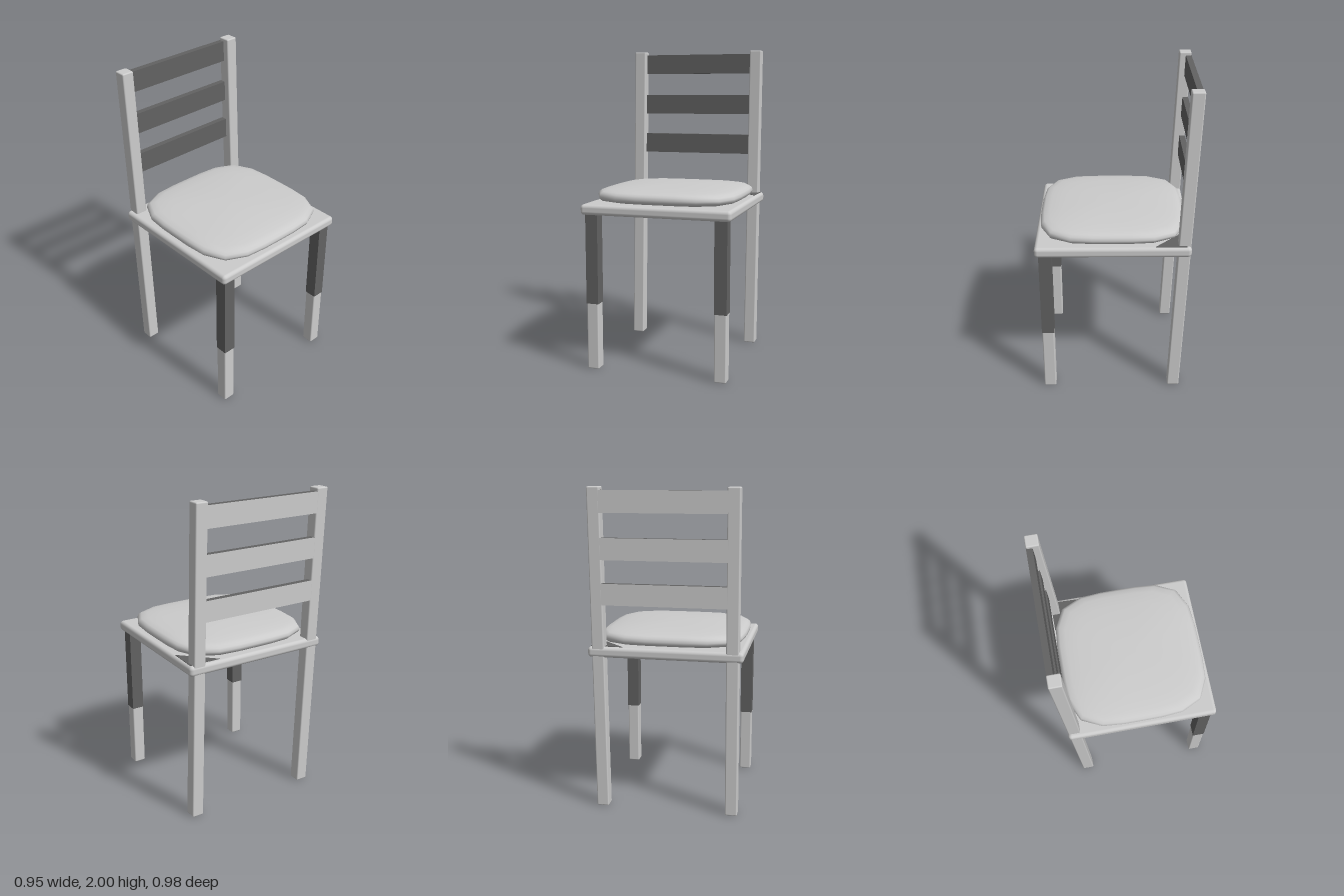
import * as THREE from 'three';
import { mergeVertices } from 'three/addons/utils/BufferGeometryUtils.js';
import { RoundedBoxGeometry } from 'three/addons/geometries/RoundedBoxGeometry.js';

const POST = 0.076;
// Centre line of the raked back posts
const rakeZ = (y) => -0.377 - 0.039 * y;

// Slide each vertex backwards with its height
function rake(geometry, centreY, offset = 0) {
  const p = geometry.attributes.position;
  for (let i = 0; i < p.count; i++) {
    const y = p.getY(i) + centreY;
    p.setXYZ(i, p.getX(i), y, p.getZ(i) + rakeZ(y) + offset);
  }
  return geometry;
}

// Soft squarish cushion: a lathe whose rings become superellipses
function cushionGeometry() {
  const profile = [
    [0, 1.047], [0.88, 1.05], [0.96, 1.058], [0.99, 1.07], [1, 1.086], [0.985, 1.104],
    [0.95, 1.116], [0.87, 1.125], [0.7, 1.134], [0.4, 1.142], [0, 1.145],
  ].map(([r, y]) => new THREE.Vector2(r, y));
  let g = new THREE.LatheGeometry(profile, 24);
  const p = g.attributes.position;
  for (let i = 0; i < p.count; i++) {
    const x = p.getX(i), z = p.getZ(i);
    const r = Math.hypot(x, z);
    const k = r > 1e-6 ? r / Math.pow(x ** 4 + z ** 4, 0.25) : 0;
    p.setXYZ(i, x * k * 0.455, p.getY(i), z * k * 0.4525 + 0.0175);
  }
  g.deleteAttribute('uv');
  g.deleteAttribute('normal');
  g = mergeVertices(g, 1e-4);
  g.computeVertexNormals();
  return g;
}

// Thin flat plate from x, z corners
function plateGeometry(corners) {
  const shape = new THREE.Shape(corners.map(([x, z]) => new THREE.Vector2(x, z)));
  return new THREE.ExtrudeGeometry(shape, { depth: 0.003, bevelEnabled: false }).rotateX(Math.PI / 2);
}

export function createModel() {
  const light = new THREE.MeshStandardMaterial({ name: 'lightGrey', color: 0xcccccc });
  const dark = new THREE.MeshStandardMaterial({ name: 'darkGrey', color: 0x626262 });
  const chair = new THREE.Group();
  chair.name = 'chair';

  function add(name, geometry, material, x = 0, y = 0, z = 0) {
    const mesh = new THREE.Mesh(geometry, material);
    mesh.name = name;
    mesh.position.set(x, y, z);
    chair.add(mesh);
  }

  // Seat board and cushion
  add('seat', new RoundedBoxGeometry(0.95, 0.065, 0.948, 3, 0.022), light, 0, 1.0125, 0.016);
  add('cushion', cushionGeometry(), light);

  // Dark patches at the left back corner of the seat
  add('seatTopPatch', plateGeometry([[0.26, -0.43], [0.46, -0.43], [0.455, -0.24]]), dark, 0, 1.047, 0);
  add('seatUndersidePatch', plateGeometry([[0.17, -0.35], [0.4, -0.37], [0.4, 0]]), dark, 0, 0.981, 0);

  for (const [side, s] of [['left', 1], ['right', -1]]) {
    const x = s * 0.41;
    // Back leg running up into the back post
    add(side + 'BackPost', rake(new RoundedBoxGeometry(POST, 2, POST, 2, 0.008), 1), light, x);
    // Front leg with its dark upper part
    add(side + 'FrontLeg', new RoundedBoxGeometry(POST, 1, POST, 2, 0.008), light, x, 0.5, 0.428);
    add(side + 'FrontLegUpper', new THREE.BoxGeometry(POST + 0.002, 0.57, POST + 0.002), dark, x, 0.705, 0.428);
  }

  // Back slats: dark all round, light on the rear face
  const slatFaces = [dark, dark, dark, dark, dark, light];
  [1.37, 1.64, 1.915].forEach((y, i) => {
    add('backSlat' + (i + 1), rake(new THREE.BoxGeometry(0.76, 0.13, 0.036), y, -0.0195), slatFaces);
  });

  return chair;
}
